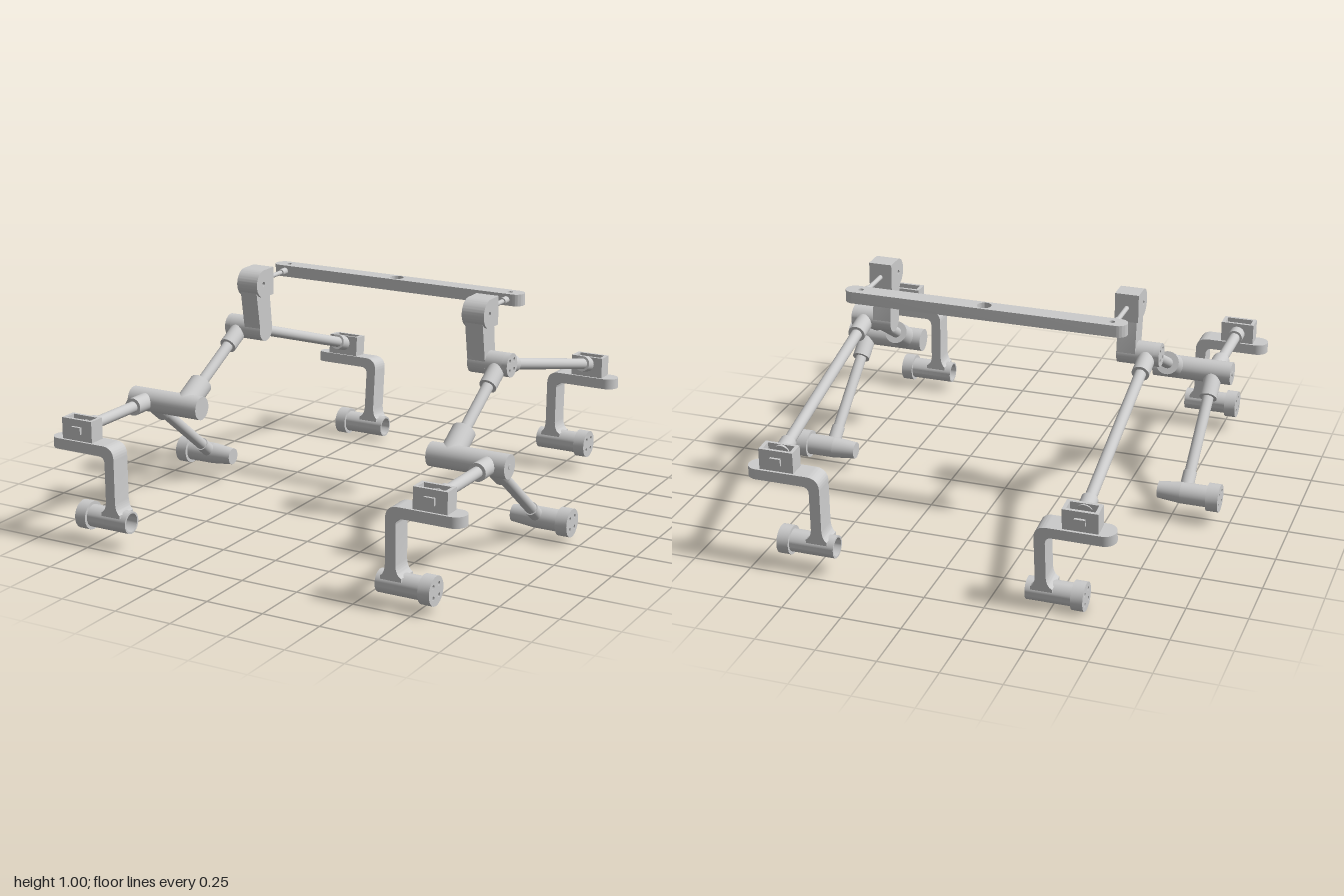
import * as THREE from 'three';
import { toCreasedNormals } from 'three/addons/utils/BufferGeometryUtils.js';

const grey = new THREE.MeshStandardMaterial({ color: 0xcccccc });
const greyBoth = new THREE.MeshStandardMaterial({ color: 0xcccccc, side: THREE.DoubleSide });
const V = (x, y, z) => new THREE.Vector3(x, y, z);

function add(parent, name, geo, mat = grey) {
  const m = new THREE.Mesh(geo, mat);
  m.name = name;
  parent.add(m);
  return m;
}

// Solid cylinder between two points
function rod(parent, name, a, b, r, r2 = r) {
  const d = b.clone().sub(a);
  const m = add(parent, name, new THREE.CylinderGeometry(r2, r, d.length(), 32));
  m.position.copy(a).addScaledVector(d, 0.5);
  m.quaternion.setFromUnitVectors(V(0, 1, 0), d.normalize());
  return m;
}

// Rod with a sleeve at each end: [radius, length]
function strut(parent, name, a, b, sleeveA, sleeveB) {
  const d = b.clone().sub(a).normalize();
  rod(parent, name, a, b, 0.024);
  rod(parent, name + 'Socket', a, a.clone().addScaledVector(d, sleeveA[1]), sleeveA[0]);
  rod(parent, name + 'Sleeve', b.clone().addScaledVector(d, -sleeveB[1]), b, sleeveB[0]);
}

const circle = (x, y, r) => new THREE.Path().absarc(x, y, r, 0, Math.PI * 2, true);

function extrude(shape, depth) {
  const g = new THREE.ExtrudeGeometry(shape, { depth, bevelEnabled: false, curveSegments: 16 });
  return toCreasedNormals(g, 0.5);
}

// Disc along x with screw holes, its outer face on side s
function drilledCap(parent, name, x, y, z, r, len, s, ring) {
  const shape = new THREE.Shape().absarc(0, 0, r, 0, Math.PI * 2);
  for (let i = 0; i < 4; i++) {
    const a = Math.PI / 4 + i * Math.PI / 2;
    shape.holes.push(circle(Math.cos(a) * ring, Math.sin(a) * ring, 0.009));
  }
  const m = add(parent, name, extrude(shape, len));
  m.rotation.y = s * Math.PI / 2;
  m.position.set(x, y, z);
}

// Rounded bar lying flat, x0..x1, with vertical holes
function flatBar(parent, name, x0, x1, w, h, holes) {
  const r = w / 2;
  const shape = new THREE.Shape();
  shape.absarc(x1 - r, 0, r, -Math.PI / 2, Math.PI / 2);
  shape.absarc(x0 + r, 0, r, Math.PI / 2, Math.PI * 1.5);
  shape.closePath();
  holes.forEach(([x, hr]) => shape.holes.push(circle(x, 0, hr)));
  const m = add(parent, name, extrude(shape, h));
  m.rotation.x = -Math.PI / 2;
  return m;
}

// Steered corner bracket; origin is the top of its plate below the rod
function wheelBracket(name, s, zDir) {
  const g = new THREE.Group();
  g.name = name;
  const w = 0.095, t = 0.045;

  // plate bending down into a leg that flares onto the motor tube
  const p = new THREE.Shape();
  p.moveTo(s * 0.088, 0);
  p.lineTo(s * -0.13, 0);
  p.quadraticCurveTo(s * -0.185, 0, s * -0.185, -0.055);
  p.lineTo(s * -0.185, -0.235);
  p.quadraticCurveTo(s * -0.187, -0.275, s * -0.205, -0.285);
  p.lineTo(s * -0.205, -0.30);
  p.lineTo(s * -0.115, -0.30);
  p.lineTo(s * -0.115, -0.285);
  p.quadraticCurveTo(s * -0.138, -0.275, s * -0.14, -0.235);
  p.lineTo(s * -0.14, -0.075);
  p.quadraticCurveTo(s * -0.14, -t, s * -0.11, -t);
  p.lineTo(s * 0.088, -t);
  add(g, 'bracketArm', extrude(p, w)).position.z = -w / 2;

  // rounded outer end of the plate
  const end = add(g, 'plateEnd', new THREE.CylinderGeometry(w / 2, w / 2, t, 24, 1, false, s > 0 ? 0 : Math.PI, Math.PI));
  end.position.set(s * 0.088, -t / 2, 0);

  // open-topped rod holder
  const box = (a, b) => [[-a, -b], [a, -b], [a, b], [-a, b]].map(([x, y]) => new THREE.Vector2(x, y));
  const walls = new THREE.Shape(box(0.073, 0.037));
  walls.holes.push(new THREE.Path(box(0.058, 0.024)));
  const holder = add(g, 'rodHolder', extrude(walls, 0.09));
  holder.rotation.x = -Math.PI / 2;
  add(g, 'holderFloor', new THREE.BoxGeometry(0.12, 0.05, 0.052)).position.y = 0.025;
  add(g, 'holderClip', new THREE.BoxGeometry(0.045, 0.03, 0.012)).position.set(0, 0.045, zDir * 0.042);
  for (const x of [-0.045, 0.045])
    rod(g, 'holderScrew', V(x, 0.05, 0), V(x, 0.056, 0), 0.008);

  // hollow motor tube and wheel flange
  const tube = [[0, 0], [0.047, 0], [0.047, 0.19], [0.039, 0.19], [0.039, 0.02], [0, 0.02]];
  const lathe = new THREE.LatheGeometry(tube.map(([x, y]) => new THREE.Vector2(x, y)), 32);
  const motor = add(g, 'motorTube', toCreasedNormals(lathe, 0.5), greyBoth);
  motor.rotation.z = s * Math.PI / 2;
  motor.position.set(s * -0.04, -0.325, 0);
  drilledCap(g, 'wheelFlange', s * -0.04, -0.325, 0, 0.06, 0.05, s, 0.033);
  return g;
}

function buildSide(d) {
  const { s } = d, g = new THREE.Group();
  g.name = s > 0 ? 'leftSuspension' : 'rightSuspension';
  const xi = s * 0.625, xo = s * 0.805;
  const hub = V(xi, 0.735, 0);

  // main pivot
  rod(g, 'mainPivot', V(s * 0.5, 0.735, 0), V(s * 0.655, 0.735, 0), 0.05);
  drilledCap(g, 'mainPivotCap', s * 0.655, 0.735, 0, 0.05, 0.025, s, 0.029);

  // upright arm, drawn with its x axis pointing to -z
  const arm = new THREE.Shape();
  arm.moveTo(-0.075, 0.92);
  arm.lineTo(-0.045, 0.73);
  arm.absarc(0, 0.735, 0.05, Math.PI, Math.PI * 2);
  arm.lineTo(0.03, 0.92);
  const armMesh = add(g, 'uprightArm', extrude(arm, 0.08));
  armMesh.rotation.y = Math.PI / 2;
  armMesh.position.x = s * 0.54 - 0.04;

  // clevis head of the arm
  const head = new THREE.Shape();
  head.moveTo(0.05, 1.005);
  head.lineTo(-0.025, 1.005);
  head.absarc(-0.025, 0.945, 0.06, Math.PI / 2, Math.PI * 1.5);
  head.lineTo(0.05, 0.885);
  head.closePath();
  head.holes.push(circle(-0.03, 0.945, 0.01));
  const headMesh = add(g, 'armHead', extrude(head, 0.1));
  headMesh.rotation.y = Math.PI / 2;
  headMesh.position.x = s * 0.54 - 0.05;

  // link to the crossbar
  rod(g, 'crossbarLink', V(s * 0.54, 0.945, -0.04), V(s * 0.54, 0.945, -0.24), 0.01);
  rod(g, 'linkSleeve', V(s * 0.54, 0.945, -0.19), V(s * 0.54, 0.945, -0.235), 0.015);

  // bogie pivot
  const by = d.bogie[0], bz = d.bogie[1];
  rod(g, 'bogiePivot', V(s * 0.54, by, bz), V(s * 0.885, by, bz), 0.05);
  rod(g, 'bogiePin', V(s * 0.885, by, bz), V(s * 0.888, by, bz), 0.012);

  // struts
  const bogieIn = V(xi, by, bz), bogieOut = V(xo, by, bz);
  const mid = V(xo, d.mid[0], d.mid[1]);
  const [fy, fz] = d.front, [ry, rz] = d.rear;
  strut(g, 'frontRocker', bogieIn, hub, [0.05, 0.14], [0.037, 0.13]);
  strut(g, 'rearRocker', hub, V(xi, ry + 0.055, rz + 0.02), [0.037, 0.13], [0.034, 0.07]);
  strut(g, 'frontBogieArm', bogieOut, V(xo, fy + 0.042, fz - 0.02), [0.038, 0.125], [0.034, 0.07]);
  strut(g, 'middleBogieArm', bogieOut, mid, [0.038, 0.13], [0.029, 0.1]);

  // middle wheel motor
  rod(g, 'middleMotor', V(s * 0.905, mid.y, mid.z), V(s * 0.79, mid.y, mid.z), 0.046);
  rod(g, 'middleMotorTail', V(s * 0.79, mid.y, mid.z), V(s * 0.69, mid.y, mid.z), 0.046, 0.036);
  drilledCap(g, 'middleWheelFlange', s * 0.905, mid.y, mid.z, 0.06, 0.052, s, 0.033);

  // corner brackets
  const front = wheelBracket('frontWheelBracket', s, 1);
  front.position.set(xo, fy, fz);
  const rear = wheelBracket('rearWheelBracket', s, -1);
  rear.position.set(xi, ry, rz);
  rear.rotation.x = d.tilt;
  g.add(front, rear);
  return g;
}

export function createModel() {
  const model = new THREE.Group();
  model.name = 'roverSuspension';

  // differential crossbar
  const bar = flatBar(model, 'crossbar', -0.605, 0.605, 0.077, 0.05, [[0, 0.03], [-0.54, 0.012], [0.54, 0.012]]);
  bar.position.set(0, 0.92, -0.266);

  // the two sides sit at slightly different poses
  model.add(buildSide({ s: 1, bogie: [0.46, 0.44], front: [0.42, 0.918], rear: [0.455, -0.94], mid: [0.094, -0.022], tilt: -0.03 }));
  model.add(buildSide({ s: -1, bogie: [0.49, 0.453], front: [0.45, 0.93], rear: [0.392, -0.92], mid: [0.122, -0.01], tilt: -0.1 }));
  return model;
}
